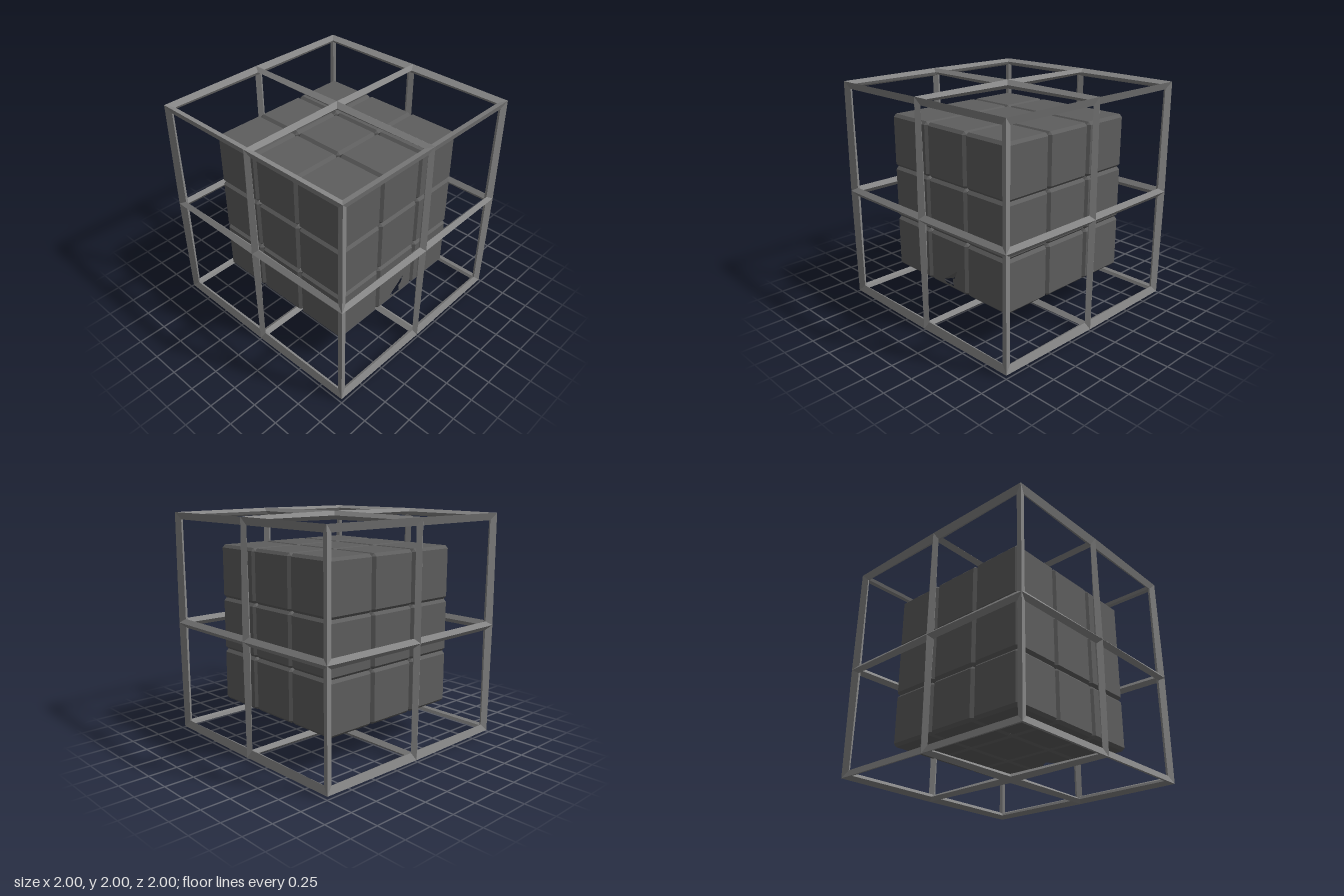
import * as THREE from 'three';
import { ConvexGeometry } from 'three/addons/geometries/ConvexGeometry.js';

const cubeMaterial = new THREE.MeshStandardMaterial({ color: 0x5e5e5e, flatShading: true });
const flapMaterial = new THREE.MeshStandardMaterial({ color: 0x5e5e5e, flatShading: true, side: THREE.DoubleSide });
const cageMaterial = new THREE.MeshStandardMaterial({ color: 0x858585 });

const STEP = 0.47;      // spacing and size of the small cubes
const H = STEP / 2;
const K = H - 0.025;    // half size of a cube's flat face inside its chamfer
const FRAME = 0.961;    // half size of the cage centre lines
const BAR = 0.039;      // half thickness of the cage bars

// Cube with every edge and corner cut flat
function chamferedCube() {
  const points = [];
  for (const x of [-1, 1]) for (const y of [-1, 1]) for (const z of [-1, 1]) {
    points.push(
      new THREE.Vector3(x * H, y * K, z * K),
      new THREE.Vector3(x * K, y * H, z * K),
      new THREE.Vector3(x * K, y * K, z * H));
  }
  return new ConvexGeometry(points);
}

// The same cube with its right (+x) and bottom faces removed
function openCube(source) {
  const p = source.attributes.position;
  const kept = [];
  for (let i = 0; i < p.count; i += 3) {
    const corners = [i, i + 1, i + 2];
    if (corners.every(j => p.getX(j) > H - 0.001) || corners.every(j => p.getY(j) < 0.001 - H)) continue;
    for (const j of corners) kept.push(p.getX(j), p.getY(j), p.getZ(j));
  }
  return fromPositions(kept);
}

function fromPositions(positions) {
  const g = new THREE.BufferGeometry();
  g.setAttribute('position', new THREE.Float32BufferAttribute(positions, 3));
  g.computeVertexNormals();
  return g;
}

// Flat cube face with a broken hole
function crackedPanel(name, crack) {
  const toVectors = list => list.map(p => new THREE.Vector2(...p));
  const shape = new THREE.Shape(toVectors([[-K, -K], [K, -K], [K, K], [-K, K]]));
  shape.holes.push(new THREE.Path(toVectors(crack)));
  const panel = new THREE.Mesh(new THREE.ShapeGeometry(shape), cubeMaterial);
  panel.name = name;
  return panel;
}

// Small cube with an arrow-shaped break through its side and bottom
function brokenCube(source) {
  const group = new THREE.Group();
  group.name = 'brokenCube';
  const body = new THREE.Mesh(openCube(source), cubeMaterial);
  body.name = 'openCube';

  const side = crackedPanel('crackedSide', [[0.112, -0.046], [-0.064, -0.174], [-0.03, -0.195],
    [0.027, -0.195], [0.065, -0.198], [0.05, -0.13], [0.08, -0.12]]);
  side.rotation.y = Math.PI / 2;
  side.position.x = H;
  const flap = new THREE.Mesh(fromPositions(
    [0.112, -0.046, 0, -0.064, -0.174, 0, 0.07, -0.127, -0.04]), flapMaterial);
  flap.name = 'foldedFlap';
  side.add(flap);

  const bottom = crackedPanel('crackedBottom',
    [[0.205, -0.06], [0.205, -0.12], [0.092, -0.112], [0.014, 0], [0.105, 0.049]]);
  bottom.rotation.x = Math.PI / 2;
  bottom.position.y = -H;

  group.add(body, side, bottom);
  return group;
}

// Cage of diamond-section bars along the edges of a cube split 2 x 2 on each side
function cageGeometry() {
  const positions = [], normals = [];
  // each quad keeps one normal, so slightly twisted bars shade evenly
  const quad = (a, b, c, d) => {
    const n = c.clone().sub(a).cross(d.clone().sub(b)).normalize();
    for (const v of [a, b, c, a, c, d]) {
      positions.push(v.x, v.y, v.z);
      normals.push(n.x, n.y, n.z);
    }
  };
  for (let axis = 0; axis < 3; axis++) for (const side of [-1, 1]) {
    const point = (u, v) => {
      const p = new THREE.Vector3();
      p.setComponent(axis, side * FRAME);
      p.setComponent((axis + 1) % 3, u * side);
      p.setComponent((axis + 2) % 3, v);
      return p;
    };
    for (const u0 of [-FRAME, 0]) for (const v0 of [-FRAME, 0]) {
      const u1 = u0 + FRAME, v1 = v0 + FRAME;
      const corners = [point(u0, v0), point(u1, v0), point(u1, v1), point(u0, v1)];
      const inset = [
        point(u0 + BAR, v0 + BAR), point(u1 - BAR, v0 + BAR),
        point(u1 - BAR, v1 - BAR), point(u0 + BAR, v1 - BAR)];
      const shifted = d => corners.map(c => c.clone().addScaledVector(c.clone().normalize(), d));
      const outer = shifted(BAR), inner = shifted(-BAR);
      for (let i = 0; i < 4; i++) {
        const j = (i + 1) % 4;
        quad(outer[i], outer[j], inset[j], inset[i]);
        quad(inner[j], inner[i], inset[i], inset[j]);
      }
    }
  }
  const g = fromPositions(positions);
  g.setAttribute('normal', new THREE.Float32BufferAttribute(normals, 3));
  return g;
}

export function createModel() {
  const model = new THREE.Group();
  model.name = 'cagedCube';

  // 3 x 3 x 3 block of small cubes
  const block = new THREE.Group();
  block.name = 'cubeBlock';
  const cube = chamferedCube();
  for (let x = -1; x <= 1; x++) for (let y = -1; y <= 1; y++) for (let z = -1; z <= 1; z++) {
    const broken = x === 1 && y === -1 && z === 0;
    const part = broken ? brokenCube(cube) : new THREE.Mesh(cube, cubeMaterial);
    if (!broken) part.name = 'smallCube';
    part.position.set(x, y, z).multiplyScalar(STEP);
    block.add(part);
  }

  // Open cage around the block
  const cage = new THREE.Mesh(cageGeometry(), cageMaterial);
  cage.name = 'cageFrame';

  block.position.y = cage.position.y = 1;
  model.add(block, cage);
  return model;
}
